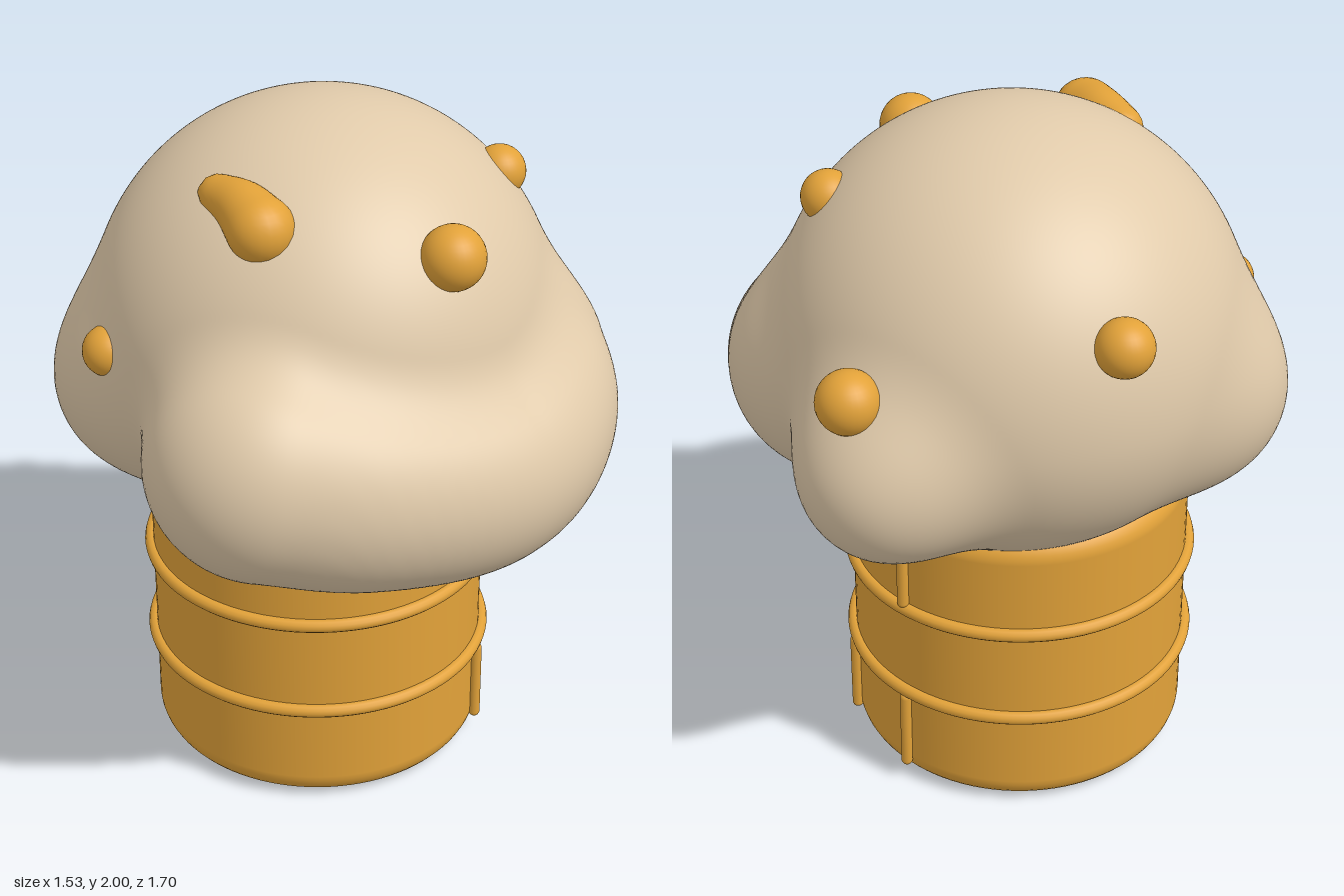
import * as THREE from 'three';
import { mergeVertices } from 'three/addons/utils/BufferGeometryUtils.js';

const V = (x, y, z) => new THREE.Vector3(x, y, z);

const ball = (c, r) => (p) => p.distanceTo(c) - r;

// Distance to a thick curved roll; each knot is [x, y, z, radius]
function roll(knots, steps) {
  const path = new THREE.CatmullRomCurve3(knots.map((k) => V(k[0], k[1], k[2])));
  const balls = [];
  for (let i = 0; i <= steps; i++) {
    const t = i / steps, s = t * (knots.length - 1);
    const n = Math.min(Math.floor(s), knots.length - 2);
    const r = THREE.MathUtils.lerp(knots[n][3], knots[n + 1][3], s - n);
    balls.push(ball(path.getPoint(t), r));
  }
  return (p) => {
    let d = Infinity;
    for (const b of balls) d = Math.min(d, b(p));
    return d;
  };
}

// Union with a soft fillet of width k
function softMin(a, b, k) {
  const h = Math.max(k - Math.abs(a - b), 0) / k;
  return Math.min(a, b) - h * h * k * 0.25;
}

// Sphere whose vertices are shrunk along their rays onto a distance field
function shrinkWrap(field, centre, reach, w, h) {
  let g = new THREE.SphereGeometry(1, w, h);
  g.deleteAttribute('uv');
  g.deleteAttribute('normal');
  g = mergeVertices(g, 1e-5);
  const pos = g.attributes.position, dir = V(0, 0, 0), p = V(0, 0, 0);
  for (let i = 0; i < pos.count; i++) {
    dir.fromBufferAttribute(pos, i).normalize();
    let t = reach;
    for (let n = 0; n < 100; n++) {
      const d = field(p.copy(centre).addScaledVector(dir, t));
      if (d < 1e-4) break;
      t -= d * 0.75;
    }
    p.copy(centre).addScaledVector(dir, t);
    pos.setXYZ(i, p.x, p.y, p.z);
  }
  g.computeVertexNormals();
  return g;
}

export function createModel() {
  const group = new THREE.Group();
  const cream = new THREE.MeshStandardMaterial({ color: 0xe0caaa });
  cream.name = 'cream';
  const caramel = new THREE.MeshStandardMaterial({ color: 0xe2a239 });
  caramel.name = 'caramel';
  const add = (geo, mat, name, parent = group) => {
    const m = new THREE.Mesh(geo, mat);
    m.name = name;
    parent.add(m);
    return m;
  };

  // Round base with softened rims
  const base = new THREE.Group();
  base.name = 'base';
  base.position.set(-0.11, 0, 0);
  group.add(base);
  const R = 0.49, profile = [new THREE.Vector2(0, 0)];
  const rim = (r, cy, from) => {
    for (let i = 0; i <= 8; i++) {
      const a = from + (i / 8) * Math.PI / 2;
      profile.push(new THREE.Vector2(R - r + r * Math.cos(a), cy + r * Math.sin(a)));
    }
  };
  rim(0.08, 0.08, -Math.PI / 2);
  rim(0.07, 0.86, 0);
  profile.push(new THREE.Vector2(0, 0.93));
  add(new THREE.LatheGeometry(profile, 96), caramel, 'baseBody', base);

  // Two hoops
  for (const y of [0.327, 0.625]) {
    const hoop = add(new THREE.TorusGeometry(0.495, 0.02, 12, 96), caramel, 'hoop', base);
    hoop.rotation.x = Math.PI / 2;
    hoop.position.y = y;
  }

  // Upright ribs on the back, in two rows
  for (const deg of [341, 304, 268]) {
    const a = THREE.MathUtils.degToRad(deg);
    for (const [y, len] of [[0.185, 0.235], [0.76, 0.22]]) {
      const rib = add(new THREE.CapsuleGeometry(0.017, len, 6, 12), caramel, 'rib', base);
      rib.position.set(Math.cos(a) * 0.5, y, Math.sin(a) * 0.5);
    }
  }

  // Billowing top: a dome, a curved roll sagging on the left side, and two puffs
  const domeAt = V(-0.105, 1.332, -0.032);
  const dome = (p) => {
    const dy = p.y - domeAt.y;
    return Math.hypot(p.x - domeAt.x, dy < 0 ? dy / 0.88 : dy, p.z - domeAt.z) - 0.668;
  };
  const sideRoll = roll([
    [0.11, 1.2, 0.52, 0.33],
    [0.3, 1.13, 0.32, 0.32],
    [0.445, 1.085, 0.0, 0.31],
    [0.4, 1.13, -0.21, 0.32],
    [0.28, 1.2, -0.305, 0.335],
  ], 48);
  const puffs = [ball(V(-0.47, 1.175, 0.28), 0.295), ball(V(-0.2, 1.195, -0.595), 0.26)];
  const topField = (p) => {
    let d = softMin(dome(p), sideRoll(p), 0.1);
    for (const puff of puffs) d = softMin(d, puff(p), 0.15);
    return d;
  };
  add(shrinkWrap(topField, V(-0.03, 1.25, 0), 1.3, 200, 140), cream, 'top');

  // Long bean near the front of the crown
  const bean = roll([
    [-0.165, 1.842, 0.35, 0.056],
    [-0.07, 1.838, 0.37, 0.074],
    [0.018, 1.812, 0.402, 0.092],
  ], 24);
  add(shrinkWrap(bean, V(-0.05, 1.83, 0.38), 0.35, 40, 28), caramel, 'bean');

  // Round nubs
  const nubs = [
    [0.425, 1.735, 0.11, 0.09],
    [0.245, 1.757, -0.382, 0.075],
    [-0.19, 1.457, -0.735, 0.088],
    [-0.69, 1.61, -0.24, 0.08],
    [-0.41, 1.38, 0.545, 0.073],
  ];
  for (const [x, y, z, r] of nubs) {
    add(new THREE.SphereGeometry(r, 32, 20), caramel, 'nub').position.set(x, y, z);
  }
  return group;
}
